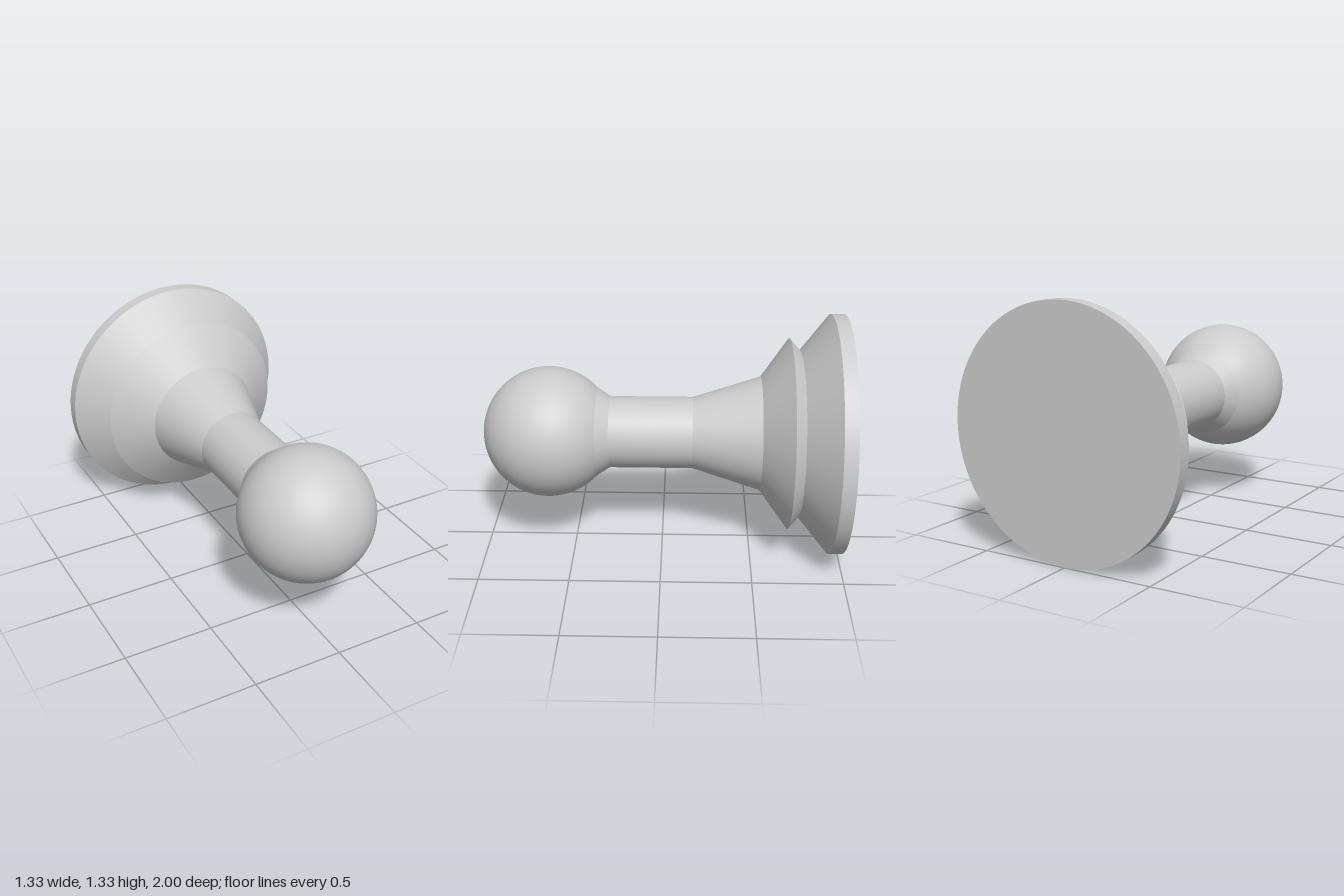
import * as THREE from 'three';

const SEGMENTS = 96;
const AXIS_HEIGHT = 0.667;

export function createModel() {
  const model = new THREE.Group();
  const material = new THREE.MeshStandardMaterial({ color: 0xcccccc });

  // Adds a part to the horizontal axis that runs along z
  function addPart(name, geometry, z) {
    const mesh = new THREE.Mesh(geometry, material);
    mesh.name = name;
    mesh.position.set(0, AXIS_HEIGHT, z);
    model.add(mesh);
  }

  // Turned sections from back to front: name, back z, back radius, front z, front radius
  const sections = [
    ['baseRim', -1, 0.667, -0.925, 0.667],
    ['baseFlare', -0.925, 0.667, -0.76, 0.465],
    ['collarBack', -0.76, 0.465, -0.7, 0.532],
    ['collarFront', -0.7, 0.532, -0.545, 0.318],
    ['neckTaper', -0.545, 0.318, -0.17, 0.2],
    ['neck', -0.17, 0.2, 0.293, 0.2],
    ['headSeat', 0.293, 0.2, 0.365, 0.247],
  ];
  for (const [name, z0, r0, z1, r1] of sections) {
    const geometry = new THREE.CylinderGeometry(r1, r0, z1 - z0, SEGMENTS, 1, true);
    geometry.rotateX(Math.PI / 2);
    addPart(name, geometry, (z0 + z1) / 2);
  }

  // Flat underside of the base, facing backwards
  addPart('baseFace', new THREE.CircleGeometry(0.667, SEGMENTS).rotateY(Math.PI), -1);

  // Ball head
  addPart('ballHead', new THREE.SphereGeometry(0.365, SEGMENTS, 48).rotateX(Math.PI / 2), 0.635);

  return model;
}
